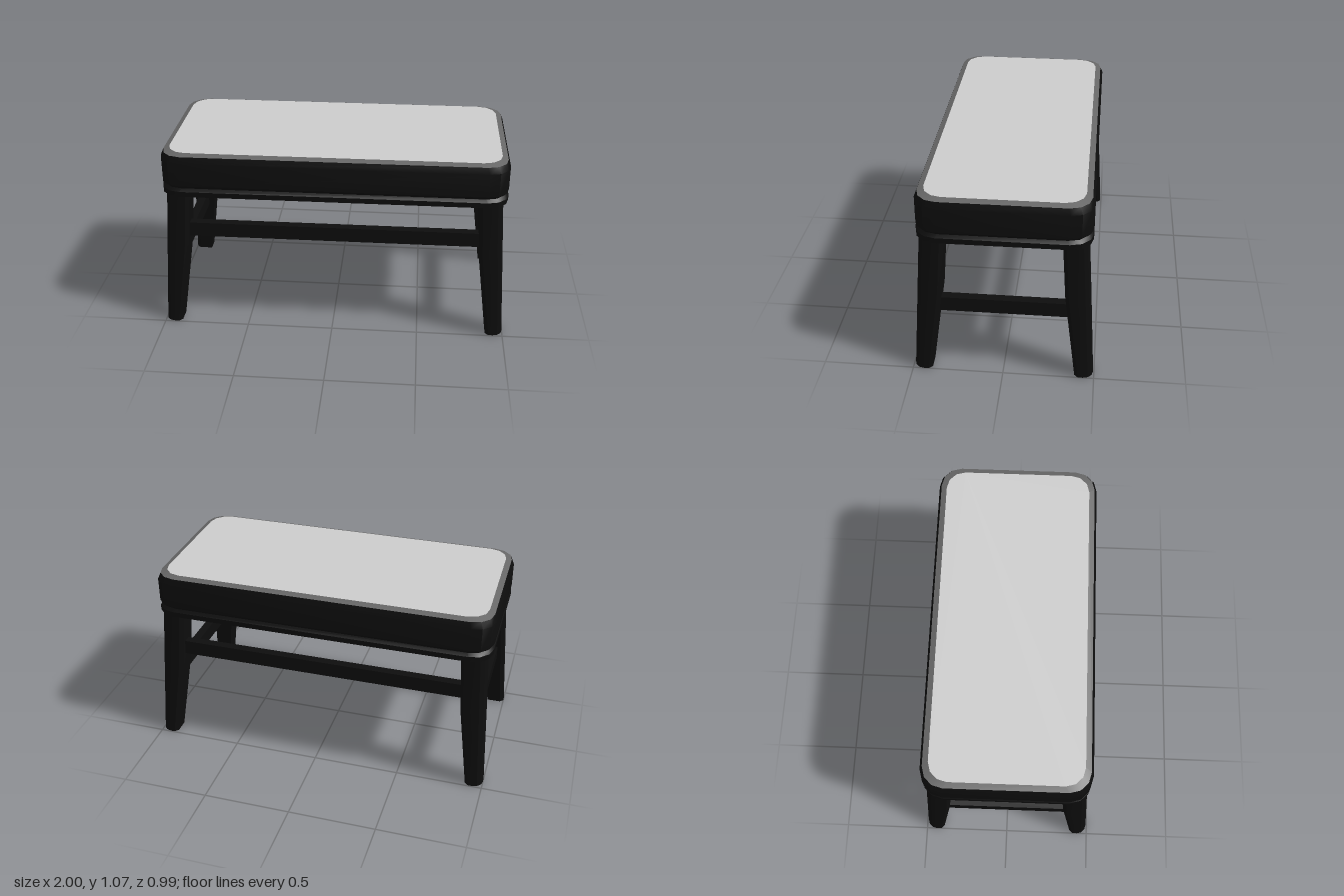
import * as THREE from 'three';
import { toCreasedNormals } from 'three/addons/utils/BufferGeometryUtils.js';

const mat = (color) => new THREE.MeshStandardMaterial({ color });
const black = mat(0x0d0d0d);
const piping = mat(0x666666);
const fabric = mat(0xcccccc);

// Skins a stack of equal-length rings (counter-clockwise from above, bottom to top)
function loft(rings, capBottom = true, capTop = true) {
  const pos = [];
  const tri = (...pts) => pts.forEach((p) => pos.push(p.x, p.y, p.z));
  const n = rings[0].length;
  for (let k = 0; k < rings.length - 1; k++) {
    const a = rings[k], b = rings[k + 1];
    for (let i = 0; i < n; i++) {
      const j = (i + 1) % n;
      tri(a[i], a[j], b[j]);
      tri(a[i], b[j], b[i]);
    }
  }
  const low = rings[0], high = rings[rings.length - 1];
  for (let i = 1; i < n - 1; i++) {
    if (capBottom) tri(low[0], low[i + 1], low[i]);
    if (capTop) tri(high[0], high[i], high[i + 1]);
  }
  const geo = new THREE.BufferGeometry();
  geo.setAttribute('position', new THREE.Float32BufferAttribute(pos, 3));
  return toCreasedNormals(geo, 0.5);
}

// Rounded rectangle ring with half sizes hx, hz and corner radius r
function roundRing(hx, hz, r, y, segs = 3) {
  const ring = [];
  [[1, -1], [-1, -1], [-1, 1], [1, 1]].forEach(([sx, sz], q) => {
    for (let i = 0; i <= segs; i++) {
      const t = (q + i / segs) * Math.PI / 2;
      ring.push(new THREE.Vector3(sx * (hx - r) + r * Math.cos(t), y, sz * (hz - r) - r * Math.sin(t)));
    }
  });
  return ring;
}

// Leg cross-section: square inside corner, eased sides, round outer corner
function legRing([y, x0, x1, z0, z1], sx, sz) {
  const r = 0.055, c = 0.02;
  const pts = [[x0, z0], [x0, z1 - c], [x0 + c, z1]];
  for (let i = 0; i <= 3; i++) {
    const t = i / 3 * Math.PI / 2;
    pts.push([x1 - r + r * Math.sin(t), z1 - r + r * Math.cos(t)]);
  }
  pts.push([x1, z0 + c], [x1 - c, z0]);
  const ring = pts.map(([x, z]) => new THREE.Vector3(sx * x, y, sz * z));
  return sx * sz < 0 ? ring.reverse() : ring;
}

export function createModel() {
  const group = new THREE.Group();
  const add = (name, geo, material = black) => {
    const mesh = new THREE.Mesh(geo, material);
    mesh.name = name;
    group.add(mesh);
    return mesh;
  };
  const seatRings = (levels) => levels.map(([y, inset]) =>
    roundRing(0.98 - inset, 0.467 - inset, 0.12 - inset * 0.3, y));

  // Seat: base board, cushion, edge trim and top panel
  add('seatBase', loft(seatRings([[0.82, 0], [0.85, 0], [0.867, 0.014]])));
  add('cushion', loft(seatRings([[0.867, 0.014], [0.885, 0], [1.023, 0], [1.058, 0.014]]), true, false));
  add('cushionEdge', loft(seatRings([[1.058, 0.014], [1.07, 0.046]]), false, false), piping);
  const top = roundRing(0.934, 0.421, 0.106, 1.07);
  add('cushionTop', loft([top, top], false, true), fabric);

  // Splayed tapering legs: y, x0, x1, z0, z1
  const legLevels = [
    [0, 0.9, 1.0, 0.393, 0.495],
    [0.5, 0.835, 0.97, 0.33, 0.465],
    [0.83, 0.815, 0.95, 0.31, 0.445],
  ];
  for (const sx of [1, -1]) {
    for (const sz of [1, -1]) {
      const name = `${sz > 0 ? 'front' : 'back'}${sx > 0 ? 'Left' : 'Right'}Leg`;
      add(name, loft(legLevels.map((l) => legRing(l, sx, sz))));
    }
  }

  // Stretchers: long pair higher, short pair lower
  for (const s of [1, -1]) {
    add(s > 0 ? 'frontStretcher' : 'backStretcher', new THREE.BoxGeometry(1.7, 0.085, 0.05))
      .position.set(0, 0.587, s * 0.39);
    add(s > 0 ? 'leftStretcher' : 'rightStretcher', new THREE.BoxGeometry(0.05, 0.085, 0.72))
      .position.set(s * 0.91, 0.402, 0);
  }
  return group;
}
